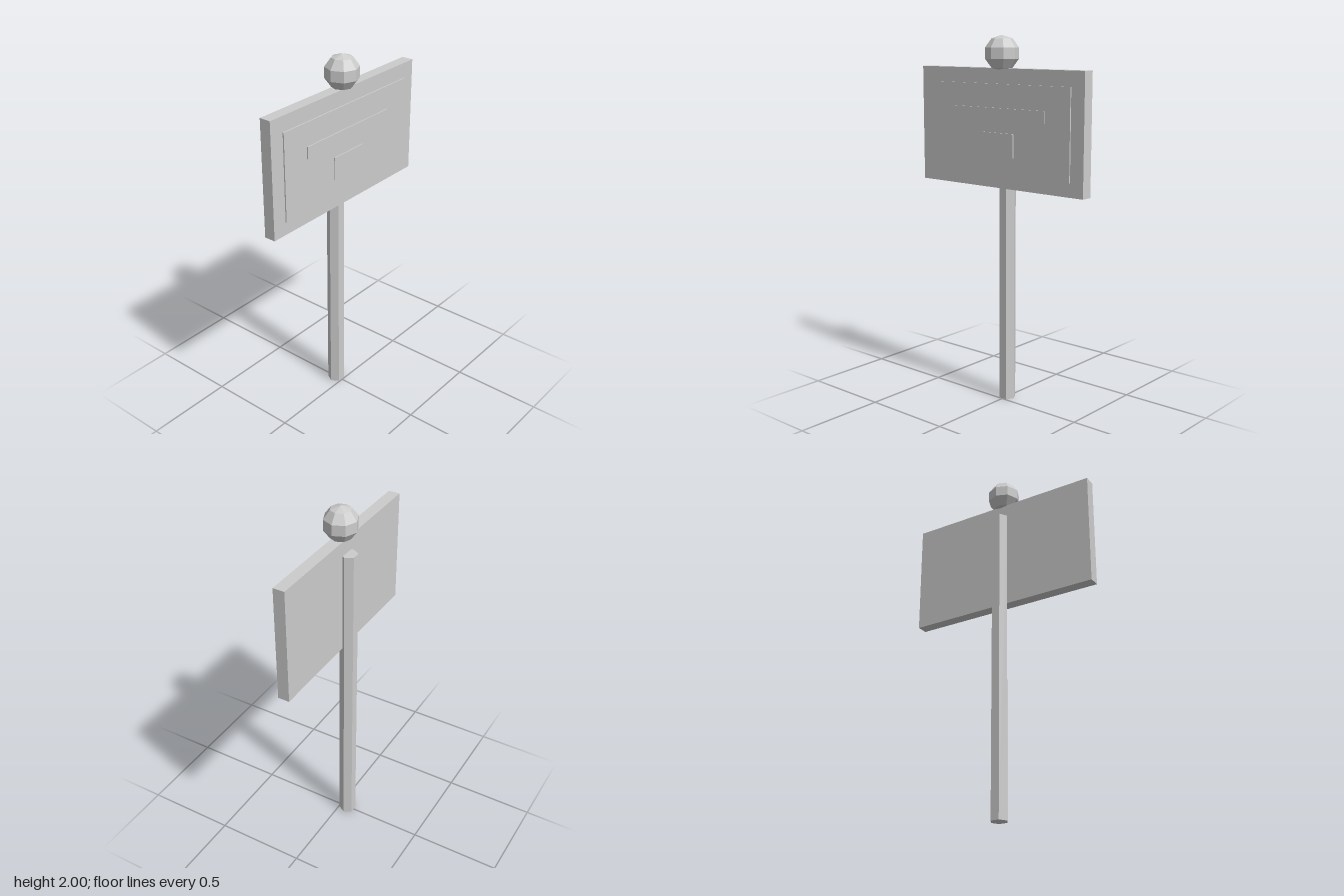
import * as THREE from 'three';

export function createModel() {
  const model = new THREE.Group();
  model.name = 'signpost';
  const grey = new THREE.MeshStandardMaterial({ color: 0xcccccc, flatShading: true });
  grey.name = 'plain grey';

  const add = (name, geometry, x, y, z) => {
    const mesh = new THREE.Mesh(geometry, grey);
    mesh.name = name;
    mesh.position.set(x, y, z);
    model.add(mesh);
  };

  // Box given by its width, vertical range and depth range
  const slab = (name, width, y0, y1, z0, z1) =>
    add(name, new THREE.BoxGeometry(width, y1 - y0, z1 - z0), 0, (y0 + y1) / 2, (z0 + z1) / 2);

  // Hexagonal post behind the board, flat side forward
  const post = new THREE.CylinderGeometry(0.047, 0.047, 1.75, 6).rotateY(Math.PI / 6);
  add('post', post, 0, 0.875, -0.046);

  // Board with its layered front plates
  slab('board', 1.106, 1.2, 1.83, -0.033, 0.03);
  slab('facePlate', 0.95, 1.275, 1.75, 0.034, 0.041);
  slab('titleStrip', 0.634, 1.56, 1.625, 0.042, 0.048);
  slab('smallPlate', 0.226, 1.37, 1.495, 0.042, 0.048);

  // Faceted ball on top
  add('finial', new THREE.SphereGeometry(0.0935, 8, 5), 0, 1.9065, 0);

  return model;
}
